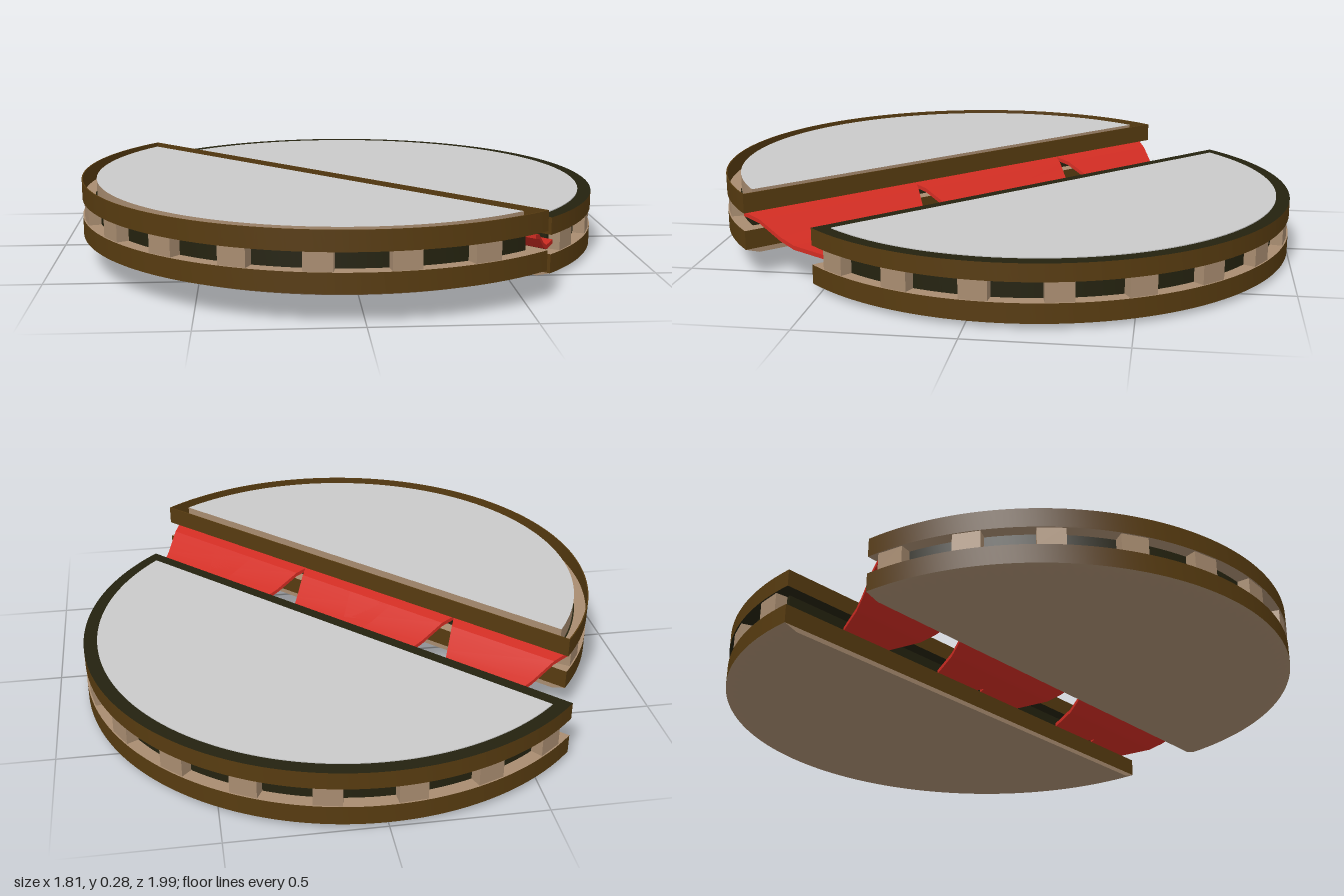
import * as THREE from 'three';
import { toCreasedNormals } from 'three/addons/utils/BufferGeometryUtils.js';

const mat = (name, color) => {
  const m = new THREE.MeshStandardMaterial({ color });
  m.name = name;
  return m;
};

const R = 0.9; // disc radius

export function createModel() {
  const brown = mat('brown', 0x573b10);
  const tan = mat('tan', 0xa88c70);
  const dark = mat('darkOlive', 0x24220f);
  const grey = mat('lightGrey', 0xc9c9c9);
  const red = mat('red', 0xd02c22);

  // Outline of a disc cut by a chord, shrunk evenly by an inset
  const outline = (cut, inset, Type = THREE.Shape) => {
    const r = R - inset, a = Math.asin((cut + inset) / r);
    const s = new Type();
    s.absarc(0, 0, r, a, Math.PI - a, false);
    s.closePath();
    return s;
  };

  const extrude = (shape, y0, y1) => {
    const g = new THREE.ExtrudeGeometry(shape, { depth: y1 - y0, bevelEnabled: false, curveSegments: 64 });
    g.rotateX(-Math.PI / 2);
    g.translate(0, y0, 0);
    return g;
  };

  const add = (parent, name, geometry, material) => {
    const m = new THREE.Mesh(geometry, material);
    m.name = name;
    parent.add(m);
    return m;
  };

  const slab = (parent, name, cut, inset, y0, y1, caps, sides) =>
    add(parent, name, toCreasedNormals(extrude(outline(cut, inset), y0, y1), 0.5), [caps, sides]);

  // Layers shared by both half discs: base, recessed core and a ring of spacer blocks
  const halfDisc = (name, cut, shift, first) => {
    const g = new THREE.Group();
    g.name = name;

    const under = extrude(outline(cut, 0), 0, 0.016);
    const p = under.attributes.position;
    for (let i = 0; i < p.count; i++) {
      if (p.getY(i) > 0.008) continue;
      p.setX(i, p.getX(i) * 0.945);
      p.setZ(i, -cut + (p.getZ(i) + cut) * 0.945);
    }
    under.computeVertexNormals();
    add(g, 'underside', toCreasedNormals(under, 0.5), tan);

    slab(g, 'baseLayer', cut, 0, 0.016, 0.08, tan, brown);
    slab(g, 'recessedCore', cut, 0.045, 0.08, 0.145, dark, dark);

    for (let k = first; k <= 5; k++) {
      const a = THREE.MathUtils.degToRad(k * 16.6 + shift);
      const b = add(g, 'spacerBlock', new THREE.BoxGeometry(0.09, 0.065, 0.05), tan);
      b.position.set(Math.sin(a) * (R - 0.03), 0.1125, -Math.cos(a) * (R - 0.03));
      b.rotation.y = -a;
    }
    return g;
  };

  const model = new THREE.Group();
  model.name = 'splitDisc';

  // Lower half disc with a dark rim
  const low = halfDisc('lowerHalf', 0, 0, -5);
  slab(low, 'upperLayer', 0, 0, 0.145, 0.203, dark, brown);
  slab(low, 'topPlate', 0, 0.046, 0.203, 0.206, grey, grey);
  low.position.set(0, 0, -0.1);
  low.rotation.y = -Math.PI / 4;
  model.add(low);

  // Raised half disc with an open channel between its thin rim wall and the top
  const cut = 0.08;
  const high = halfDisc('raisedHalf', cut, -3.5, -4);
  slab(high, 'channelFloor', cut, 0, 0.14, 0.145, tan, brown);
  const rim = outline(cut, 0);
  rim.holes.push(outline(cut, 0.004, THREE.Path));
  add(high, 'rimWall', toCreasedNormals(extrude(rim, 0.145, 0.205), 0.5), brown);
  slab(high, 'topPlate', cut, 0.05, 0.145, 0.202, grey, tan);
  high.position.set(-0.01, 0.08, 0.09);
  high.rotation.y = Math.PI * 0.75;
  model.add(high);

  // Bent ramps, wide at the raised half and narrow at the lower one
  const profile = [[-0.19, 0.214], [-0.13, 0.198], [-0.05, 0.15], [0.0, 0.13], [0.115, 0.118]];
  const rampGeometry = () => {
    const pos = [], idx = [];
    profile.forEach(([n, y]) => {
      const w = 0.2085 - (n + 0.15) * 0.418;
      pos.push(-w, y, -n, w, y, -n, w, y - 0.014, -n, -w, y - 0.014, -n);
    });
    const last = (profile.length - 1) * 4;
    for (let i = 0; i < last; i += 4) {
      for (let j = 0; j < 4; j++) {
        const a = i + j, b = i + (j + 1) % 4;
        idx.push(a, b, b + 4, a, b + 4, a + 4);
      }
    }
    idx.push(0, 2, 1, 0, 3, 2, last, last + 1, last + 2, last, last + 2, last + 3);
    const g = new THREE.BufferGeometry();
    g.setAttribute('position', new THREE.Float32BufferAttribute(pos, 3));
    g.setIndex(idx);
    return toCreasedNormals(g, 0.2);
  };

  const ramps = new THREE.Group();
  ramps.name = 'ramps';
  const geo = rampGeometry();
  for (const s of [-0.6, -0.16, 0.06, 0.49, 0.71]) {
    add(ramps, 'ramp', geo, red).position.x = s;
  }
  ramps.rotation.y = -Math.PI / 4;
  model.add(ramps);

  return model;
}
